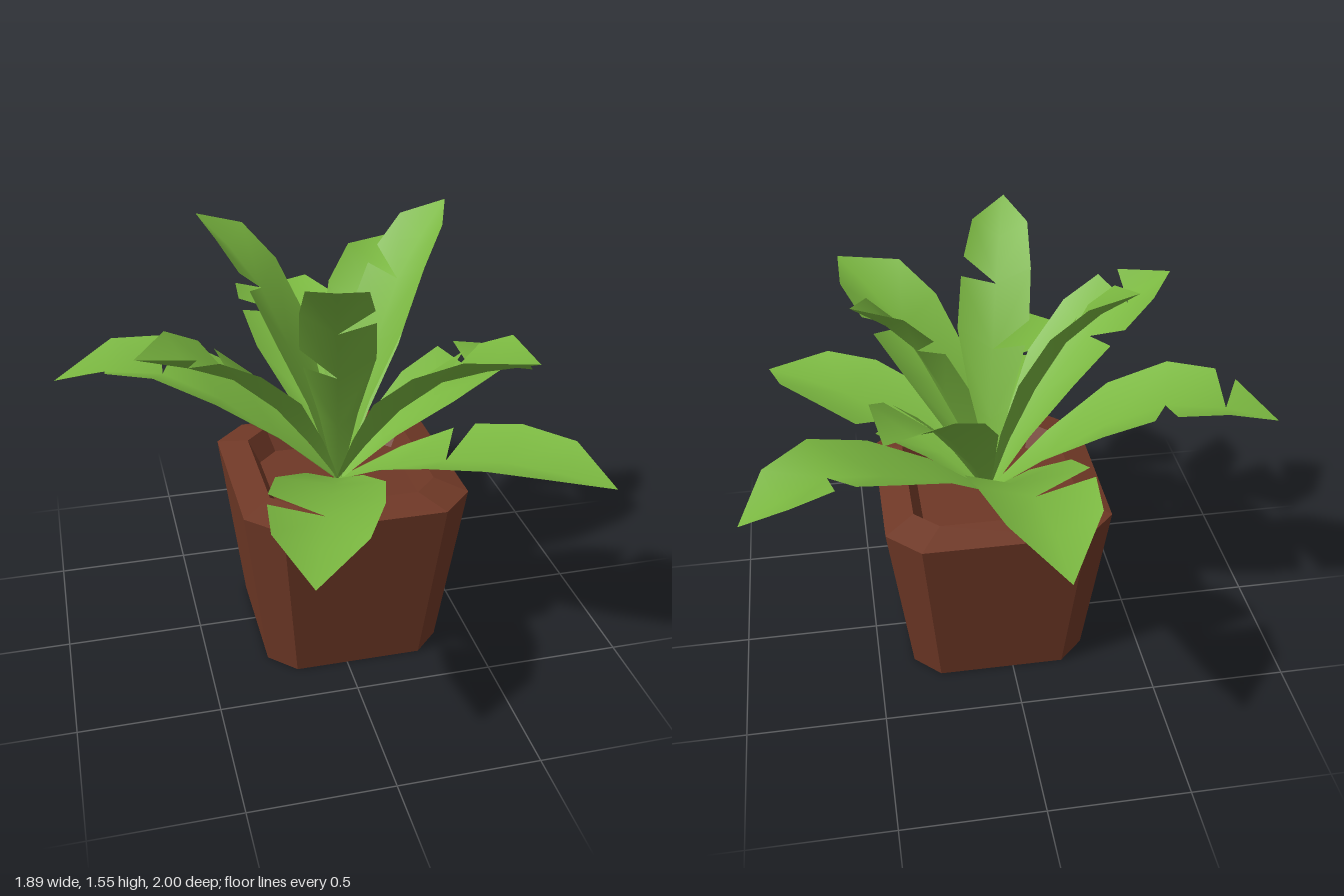
import * as THREE from 'three';

const CX = 0.043, CZ = 0.022;

// Octagon (square with cut corners) at height y
function ring(half, flat, y) {
  const p = [[half, flat], [flat, half], [-flat, half], [-half, flat],
    [-half, -flat], [-flat, -half], [flat, -half], [half, -flat]];
  return p.map(([x, z]) => [x, y, z]);
}

// Faceted pot: stacked octagons from the underside, over the rim, down to the soil
function potGeometry(rings) {
  const pos = [];
  for (let r = 0; r < rings.length - 1; r++) {
    for (let i = 0; i < 8; i++) {
      const j = (i + 1) % 8, a = rings[r], b = rings[r + 1];
      pos.push(...a[i], ...b[i], ...b[j], ...a[i], ...b[j], ...a[j]);
    }
  }
  const bottom = rings[0], top = rings[rings.length - 1];
  for (let i = 1; i < 7; i++) {
    pos.push(...bottom[0], ...bottom[i], ...bottom[i + 1]);
    pos.push(...top[0], ...top[i + 1], ...top[i]);
  }
  const g = new THREE.BufferGeometry();
  g.setAttribute('position', new THREE.Float32BufferAttribute(pos, 3));
  g.computeVertexNormals();
  return g;
}

// Leaf cross-sections per tier: distance, rib height, edge height, half width
const TIERS = {
  top: [[0, 0.6, 0.6, 0.012], [0.09, 0.86, 0.92, 0.07], [0.19, 1.1, 1.18, 0.13],
    [0.3, 1.31, 1.38, 0.125], [0.42, 1.445, 1.505, 0.1], [0.55, 1.55, 1.55, 0]],
  upper: [[0, 0.6, 0.6, 0.012], [0.13, 0.79, 0.84, 0.08], [0.27, 0.97, 1.05, 0.15],
    [0.44, 1.13, 1.205, 0.172], [0.61, 1.22, 1.3, 0.145], [0.8, 1.3, 1.3, 0]],
  middle: [[0, 0.6, 0.6, 0.012], [0.21, 0.76, 0.82, 0.1], [0.42, 0.92, 0.99, 0.183],
    [0.63, 1.02, 1.09, 0.19], [0.84, 1.025, 1.09, 0.15], [1.027, 0.985, 0.985, 0]],
  low: [[0, 0.6, 0.6, 0.012], [0.21, 0.695, 0.74, 0.1], [0.42, 0.78, 0.84, 0.185],
    [0.63, 0.825, 0.885, 0.19], [0.84, 0.83, 0.885, 0.15], [1.027, 0.82, 0.82, 0]],
  drooping: [[0, 0.6, 0.6, 0.012], [0.2, 0.715, 0.76, 0.09], [0.41, 0.81, 0.87, 0.158],
    [0.63, 0.88, 0.945, 0.165], [0.815, 0.845, 0.9, 0.13], [0.96, 0.795, 0.795, 0]],
};

// Troughed leaf along -z; a notch such as 'L3' tears that edge in to the rib at section 3
function leafGeometry(rows, notches) {
  const pos = [], index = [];
  const add = (x, y, z) => pos.push(x, y, z) / 3 - 1;
  const ribs = rows.map(([r, y]) => add(0, y, -r));
  const last = rows.length - 1;
  for (const [name, sign] of [['L', -1], ['R', 1]]) {
    const edge = (i, step) => {
      const a = rows[i], b = rows[i + step];
      const v = a.map((n, k) => n + (b[k] - n) * 0.18);
      return add(sign * v[3], v[2], -v[0]);
    };
    const plain = rows.map(([r, , y, w], i) => (i === last ? ribs[i] : add(sign * w, y, -r)));
    const torn = (i) => notches.includes(name + i);
    for (let i = 0; i < last; i++) {
      const e0 = torn(i) ? edge(i, 1) : plain[i];
      const e1 = torn(i + 1) ? edge(i + 1, -1) : plain[i + 1];
      const tris = i + 1 === last ? [[ribs[i], ribs[i + 1], e0]]
        : [[ribs[i], ribs[i + 1], e1], [ribs[i], e1, e0]];
      for (const [a, b, c] of tris) index.push(...(sign < 0 ? [a, b, c] : [a, c, b]));
    }
  }
  const g = new THREE.BufferGeometry();
  g.setAttribute('position', new THREE.Float32BufferAttribute(pos, 3));
  g.setIndex(index);
  g.computeVertexNormals();
  return g;
}

// Tier, heading in degrees from +x towards +z, torn edges
const LEAVES = [
  ['top', 105, ['L3', 'R2']], ['top', -31.7, ['L3']], ['top', 217, ['L3']],
  ['upper', 53, ['L3']], ['upper', 157, ['L4', 'R3']], ['upper', -59.3, ['R3']],
  ['middle', -95.5, ['L3']], ['middle', 195.5, ['R3', 'L4']],
  ['low', 39.7, ['L2']], ['low', 107.7, ['R3']],
  ['drooping', -20.8, ['L3']],
];

export function createModel() {
  const terracotta = new THREE.MeshStandardMaterial({ color: 0x6f3826 });
  terracotta.name = 'terracotta';
  const leafGreen = new THREE.MeshStandardMaterial({ color: 0x7ab740, side: THREE.DoubleSide });
  leafGreen.name = 'leafGreen';

  const model = new THREE.Group();
  model.name = 'pottedPlant';

  // Pot with sloped rim and sunken soil
  const pot = new THREE.Mesh(potGeometry([
    ring(0.325, 0.232, 0), ring(0.406, 0.29, 0.655),
    ring(0.3, 0.215, 0.685), ring(0.26, 0.186, 0.6),
  ]), terracotta);
  pot.name = 'pot';
  pot.position.set(CX, 0, CZ);
  model.add(pot);

  // Rosette of leaves
  const foliage = new THREE.Group();
  foliage.name = 'foliage';
  foliage.position.set(CX, 0, CZ);
  for (const [tier, heading, notches] of LEAVES) {
    const leaf = new THREE.Mesh(leafGeometry(TIERS[tier], notches), leafGreen);
    leaf.name = tier + 'Leaf';
    leaf.rotation.y = -THREE.MathUtils.degToRad(heading + 90);
    foliage.add(leaf);
  }
  model.add(foliage);
  return model;
}
